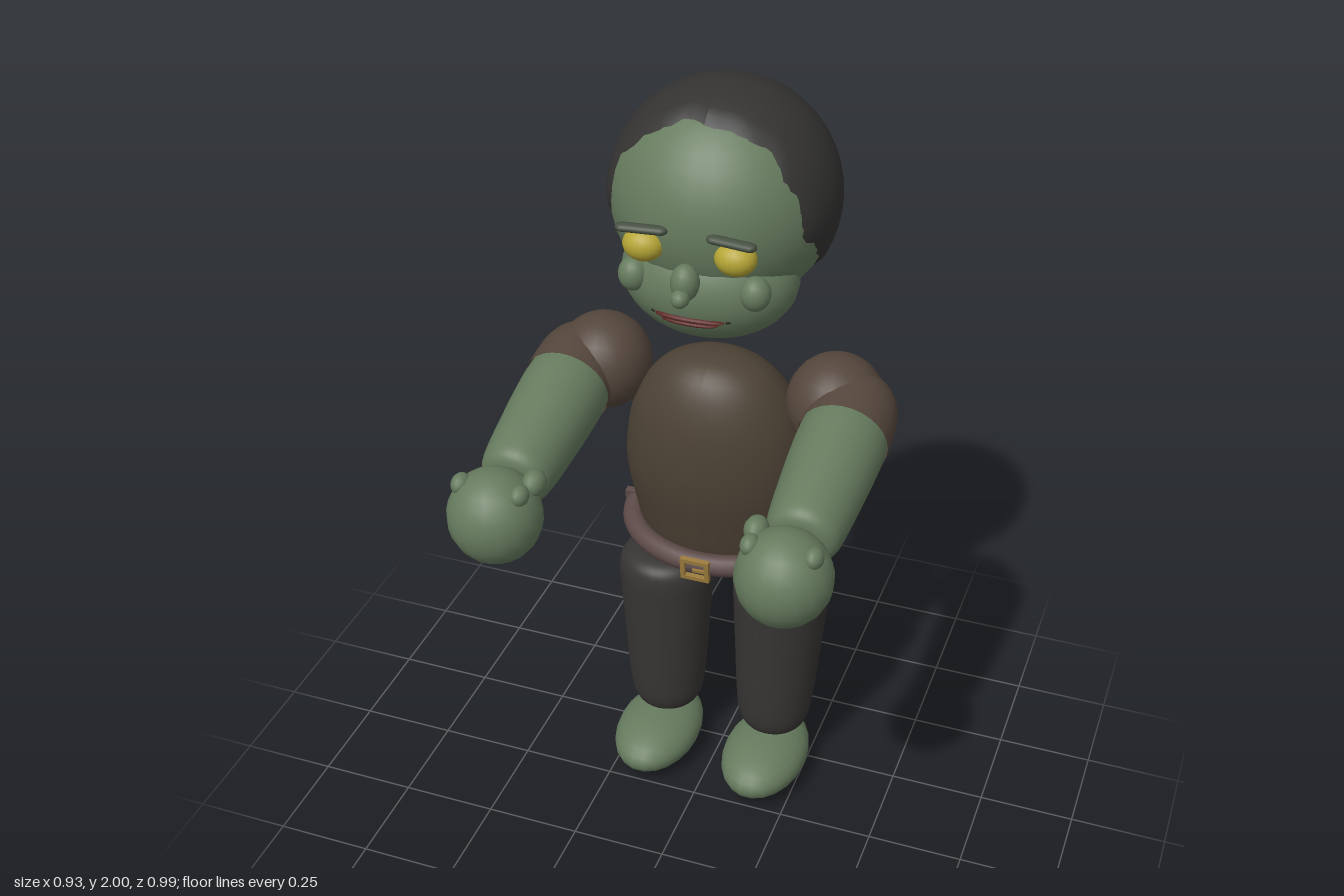
import * as THREE from 'three';

const mat = (color, side = THREE.FrontSide) => new THREE.MeshStandardMaterial({ color, side });
const SKIN = mat(0x667b5e), HAIR = mat(0x343332, THREE.DoubleSide), SHIRT = mat(0x4d4235), SLEEVE = mat(0x54463c, THREE.DoubleSide);
const PANTS = mat(0x373533), LEATHER = mat(0x5c4a48), POUCH = mat(0x4f3830), EYE = mat(0xb5a535);
const BROW = mat(0x465042), LIP = mat(0x5a2420), GOLD = mat(0x9a7a3c), DARK = mat(0x2c2422);

function add(group, name, geometry, material, x = 0, y = 0, z = 0) {
  const mesh = new THREE.Mesh(geometry, material);
  mesh.name = name;
  mesh.position.set(x, y, z);
  group.add(mesh);
  return mesh;
}

function ball(group, name, material, [x, y, z], [rx, ry, rz], detail = 24) {
  const geo = new THREE.SphereGeometry(1, detail, Math.ceil(detail * 0.67)).scale(rx, ry, rz);
  return add(group, name, geo, material, x, y, z);
}

// Smooth turned solid; each profile point is [radius, height]
function turned(profile, steps = 28, segments = 28) {
  const curve = new THREE.SplineCurve(profile.map(([r, y]) => new THREE.Vector2(r, y)));
  const points = curve.getPoints(steps).map((p) => new THREE.Vector2(Math.max(p.x, 0), p.y));
  return new THREE.LatheGeometry(points, segments);
}

// Stand a turned solid at a point and aim its axis along a direction
function aim(mesh, dir) {
  mesh.quaternion.setFromUnitVectors(new THREE.Vector3(0, 1, 0), dir.clone().normalize());
  return mesh;
}

// Hair cap: grows from the back of the skull until it meets the hairline
function hairCap(r) {
  const axis = new THREE.Vector3(0, 0.6, -0.8);
  const up = new THREE.Vector3(0, 0.8, 0.6), right = new THREE.Vector3(1, 0, 0);
  const rows = 16, cols = 64, pos = [], index = [];
  const point = (theta, phi) => new THREE.Vector3()
    .addScaledVector(axis, Math.cos(theta))
    .addScaledVector(up, Math.sin(theta) * Math.cos(phi))
    .addScaledVector(right, Math.sin(theta) * Math.sin(phi));
  for (let j = 0; j <= cols; j++) {
    const phi = (j / cols) * Math.PI * 2;
    const wobble = 0.02 * Math.sin(phi * 9) + 0.015 * Math.sin(phi * 17 + 1);
    let limit = 0.2;
    while (limit < 2.6) {
      const p = point(limit, phi);
      if (p.z > 0.54 + wobble || p.y < -0.05 - 0.95 * (0.55 - p.z) + 0.0 + wobble && p.y < 0.05) break;
      if (p.y < -0.95) break;
      limit += 0.01;
    }
    for (let i = 0; i <= rows; i++) {
      const p = point((limit * i) / rows, phi).multiplyScalar(i === rows ? r * 0.97 : r);
      pos.push(p.x, p.y, p.z);
    }
  }
  for (let j = 0; j < cols; j++) for (let i = 0; i < rows; i++) {
    const a = j * (rows + 1) + i, b = a + rows + 1;
    index.push(a, a + 1, b + 1, a, b + 1, b);
  }
  const geo = new THREE.BufferGeometry();
  geo.setAttribute('position', new THREE.Float32BufferAttribute(pos, 3));
  geo.setIndex(index);
  geo.computeVertexNormals();
  return geo;
}

function buildHead() {
  const head = new THREE.Group();
  head.name = 'head';
  ball(head, 'skull', SKIN, [0, 1.725, -0.215], [0.273, 0.268, 0.266], 32);
  ball(head, 'jaw', SKIN, [0, 1.56, -0.115], [0.215, 0.15, 0.165], 28);
  add(head, 'hair', hairCap(0.277), HAIR, 0, 1.722, -0.215);
  ball(head, 'nose', SKIN, [0, 1.62, 0.06], [0.034, 0.045, 0.035], 16);
  ball(head, 'noseTip', SKIN, [0, 1.595, 0.092], [0.022, 0.022, 0.026], 14);
  ball(head, 'upperLip', LIP, [0, 1.514, 0.03], [0.085, 0.009, 0.02], 16);
  ball(head, 'lowerLip', LIP, [0, 1.503, 0.028], [0.07, 0.008, 0.02], 16);
  for (const s of [1, -1]) {
    ball(head, 'eye', EYE, [s * 0.11, 1.685, 0.03], [0.05, 0.04, 0.042], 18);
    const brow = add(head, 'brow', new THREE.CapsuleGeometry(0.016, 0.09, 6, 12)
      .rotateZ(Math.PI / 2).scale(1, 0.65, 1), BROW, s * 0.107, 1.733, 0.052);
    brow.rotation.y = -s * 0.12;
    ball(head, 'cheek', SKIN, [s * 0.148, 1.588, 0.0], [0.037, 0.042, 0.037], 16);
    ball(head, 'mouthCrease', DARK, [s * 0.09, 1.515, 0.01], [0.01, 0.007, 0.02], 10);
  }
  return head;
}

function buildTorso() {
  const torso = new THREE.Group();
  torso.name = 'torso';
  // Shirt body: flattened front to back and leaning forward as it rises
  const geo = turned([[0, 0.648], [0.11, 0.657], [0.18, 0.695], [0.215, 0.76], [0.232, 0.85], [0.245, 0.97],
    [0.235, 1.08], [0.205, 1.18], [0.15, 1.265], [0.08, 1.31], [0, 1.322]], 40, 36);
  const p = geo.attributes.position;
  for (let i = 0; i < p.count; i++) p.setZ(i, p.getZ(i) * 0.78 - 0.2 + (p.getY(i) - 1) * 0.14);
  geo.computeVertexNormals();
  add(torso, 'shirt', geo, SHIRT);

  // Belt hangs lower at the front
  const belt = new THREE.Group();
  belt.name = 'belt';
  belt.position.set(0, 0.785, -0.222);
  belt.rotation.x = 0.1;
  class Oval extends THREE.Curve {
    getPoint(t, out = new THREE.Vector3()) {
      const a = t * Math.PI * 2;
      return out.set(0.238 * Math.sin(a), 0, 0.188 * Math.cos(a));
    }
  }
  add(belt, 'strap', new THREE.TubeGeometry(new Oval(), 48, 0.029, 12, true), LEATHER);
  for (const s of [1, -1]) add(belt, 'beltLoop', new THREE.BoxGeometry(0.062, 0.062, 0.02), LEATHER, s * 0.237, 0, 0);
  // Square buckle frame with a prong
  const frame = new THREE.Shape([[-0.038, -0.032], [0.038, -0.032], [0.038, 0.032], [-0.038, 0.032]]
    .map(([x, y]) => new THREE.Vector2(x, y)));
  frame.holes.push(new THREE.Path([[-0.026, -0.021], [-0.026, 0.021], [0.026, 0.021], [0.026, -0.021]]
    .map(([x, y]) => new THREE.Vector2(x, y))));
  add(belt, 'buckle', new THREE.ExtrudeGeometry(frame, { depth: 0.014, bevelEnabled: false }), GOLD, 0, 0, 0.208);
  add(belt, 'prong', new THREE.BoxGeometry(0.035, 0.008, 0.01), GOLD, 0.012, 0, 0.217);
  torso.add(belt);

  // Hip pouch with flap
  const pouch = new THREE.Group();
  pouch.name = 'pouch';
  pouch.position.set(0.21, 0.705, -0.09);
  pouch.rotation.y = 0.6;
  add(pouch, 'pouchBag', new THREE.CylinderGeometry(0.054, 0.064, 0.09, 4, 1)
    .rotateY(Math.PI / 4).scale(1, 1, 0.6).toNonIndexed(), POUCH);
  add(pouch, 'pouchFlap', new THREE.BoxGeometry(0.088, 0.04, 0.066), POUCH, 0, 0.032, 0.002);
  torso.add(pouch);
  return torso;
}

function buildArm(s) {
  const arm = new THREE.Group();
  arm.name = s > 0 ? 'leftArm' : 'rightArm';
  const start = new THREE.Vector3(s * 0.355, 1.205, -0.06);
  const dir = new THREE.Vector3(0, -0.07, 0.35);
  ball(arm, 'shoulder', SLEEVE, [s * 0.302, 1.23, -0.175], [0.122, 0.124, 0.124], 22);
  // Short sleeve, rounded at the back and cut off at the cuff
  const sleeve = add(arm, 'sleeve', turned([[0, -0.2], [0.055, -0.185], [0.093, -0.14], [0.109, -0.08], [0.111, 0.005]]), SLEEVE);
  sleeve.position.copy(start);
  aim(sleeve, dir);
  const forearm = add(arm, 'forearm', turned([[0, -0.1], [0.09, -0.08], [0.107, 0], [0.106, 0.1], [0.1, 0.2],
    [0.093, 0.29], [0.083, 0.335], [0.055, 0.354], [0, 0.358]], 40), SKIN);
  forearm.position.copy(start);
  aim(forearm, dir);
  ball(arm, 'fist', SKIN, [s * 0.352, 1.112, 0.386], [0.114, 0.118, 0.112], 18);
  // Warts on the back of the fist
  for (const [x, y, z, r] of [[0.27, 1.19, 0.338, 0.032], [0.277, 1.195, 0.405, 0.025], [0.424, 1.195, 0.405, 0.026]])
    ball(arm, 'wart', SKIN, [s * x, y, z], [r * 0.9, r, r * 1.15], 12);
  return arm;
}

function buildLeg(s) {
  const leg = new THREE.Group();
  leg.name = s > 0 ? 'leftLeg' : 'rightLeg';
  const trouser = add(leg, 'trouserLeg', turned([[0, 0], [0.065, 0.006], [0.094, 0.04], [0.106, 0.12], [0.115, 0.25],
    [0.124, 0.38], [0.128, 0.46], [0.113, 0.5], [0.07, 0.517], [0, 0.52]], 44), PANTS, s * 0.155, 0.13, -0.218);
  aim(trouser, new THREE.Vector3(s * 0.008, 0.52, -0.02));
  ball(leg, 'foot', SKIN, [s * 0.157, 0.073, -0.15], [0.114, 0.073, 0.18], 22);
  return leg;
}

export function createModel() {
  const model = new THREE.Group();
  model.name = 'greenFigure';
  model.add(buildHead(), buildTorso());
  for (const s of [1, -1]) model.add(buildArm(s), buildLeg(s));
  return model;
}
